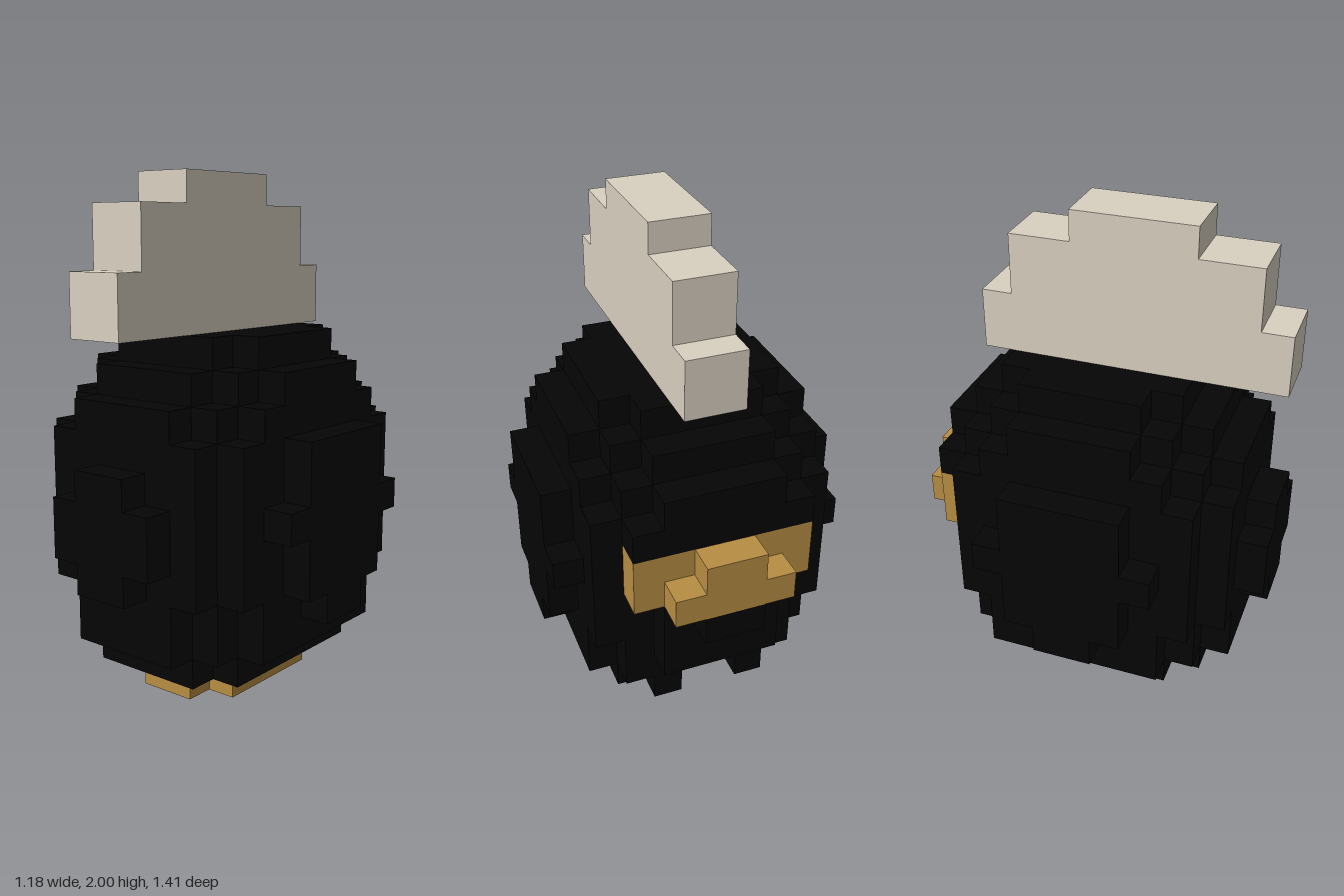
import * as THREE from 'three';

// Everything sits on a cube grid, 17 cubes tall
const U = 2 / 17;

const material = (name, color) => {
  const m = new THREE.MeshStandardMaterial({ color });
  m.name = name;
  return m;
};

function box(parent, name, mat, [x0, x1], [y0, y1], [z0, z1]) {
  const mesh = new THREE.Mesh(new THREE.BoxGeometry((x1 - x0) * U, (y1 - y0) * U, (z1 - z0) * U), mat);
  mesh.position.set((x0 + x1) / 2 * U, (y0 + y1) / 2 * U, (z0 + z1) / 2 * U);
  mesh.name = name;
  parent.add(mesh);
}

// Stepped slab: steps are [halfWidth, zBack, zFront], widest first
function slab(parent, name, mat, y0, y1, steps) {
  const edge = (k) => steps.flatMap((s, i) => [[s[0], steps[Math.max(i - 1, 0)][k]], [s[0], s[k]]]);
  const half = [...edge(1).reverse(), ...edge(2)];
  const outline = [...half, ...half.map(([x, z]) => [-x, z]).reverse()]
    .filter((p, i, a) => {
      const q = a[(i + 1) % a.length];
      return p[0] !== q[0] || p[1] !== q[1];
    });
  const shape = new THREE.Shape(outline.map(([x, z]) => new THREE.Vector2(x * U, -z * U)));
  const geo = new THREE.ExtrudeGeometry(shape, { depth: (y1 - y0) * U, bevelEnabled: false });
  geo.rotateX(-Math.PI / 2);
  const mesh = new THREE.Mesh(geo, mat);
  mesh.position.y = y0 * U;
  mesh.name = name;
  parent.add(mesh);
}

export function createModel() {
  const model = new THREE.Group();
  const black = material('black', 0x050505);
  const tan = material('tan', 0xb88d43);
  const cream = material('cream', 0xd9d1c1);

  // Round body, one stepped slab per layer
  const body = new THREE.Group();
  body.name = 'body';
  model.add(body);
  const layers = [
    [[3, -2, 3], [2, -2, 4]],
    [[4, -3, 3], [3, -4, 4], [2, -4, 5]],
    [[5, -1, 1], [4, -3, 3], [3, -4, 4], [2, -5, 5]],
    [[5, -2, 2], [4, -4, 4], [3, -4, 5], [2, -5, 5], [1, -5, 6]],
    [[5, -2, 2], [4, -4, 4], [3, -4, 5], [2, -5, 6], [1, -6, 6]],
    [[5, -3, 3], [4, -4, 4], [3, -4, 5], [2, -4, 6]],
    [[5, -2, 2], [4, -4, 4], [3, -4, 5], [1, -4, 6]],
    [[5, -2, 2], [4, -4, 4], [3, -5, 5]],
    [[4, -3, 3], [3, -4, 4], [2, -5, 5]],
    [[4, -2, 2], [3, -3, 3], [2, -4, 4]],
    [[3, -2, 2], [2, -3, 3]],
  ];
  layers.forEach((steps, i) => slab(body, 'bodyLayer', black, i + 1, i + 2, steps));

  // Split rear edge of the lowest layer
  for (const s of [-1, 1]) {
    const span = (a, b) => (s > 0 ? [a, b] : [-b, -a]);
    box(body, 'rearTab', black, span(1, 3), [1, 2], [-3, -2]);
    box(body, 'rearTabTip', black, span(1, 2), [1, 2], [-4, -3]);
  }

  // Base
  slab(model, 'base', tan, 0, 1, [[2, -2, 2], [1, -2, 3]]);

  // Rear band with its stepped snout
  box(model, 'rearBand', tan, [-3, 3], [6, 8], [-5, -4]);
  box(model, 'snout', tan, [-2, 2], [6, 7], [-6, -5]);
  box(model, 'snoutTop', tan, [-1, 1], [7, 8], [-6, -5]);

  // Stepped crest
  const crest = new THREE.Group();
  crest.name = 'crest';
  model.add(crest);
  [[12, 14, -4, 6], [14, 16, -3, 5], [16, 17, -1, 3]].forEach(([y0, y1, z0, z1]) =>
    box(crest, 'crestStep', cream, [-1, 1], [y0, y1], [z0, z1]));

  return model;
}
